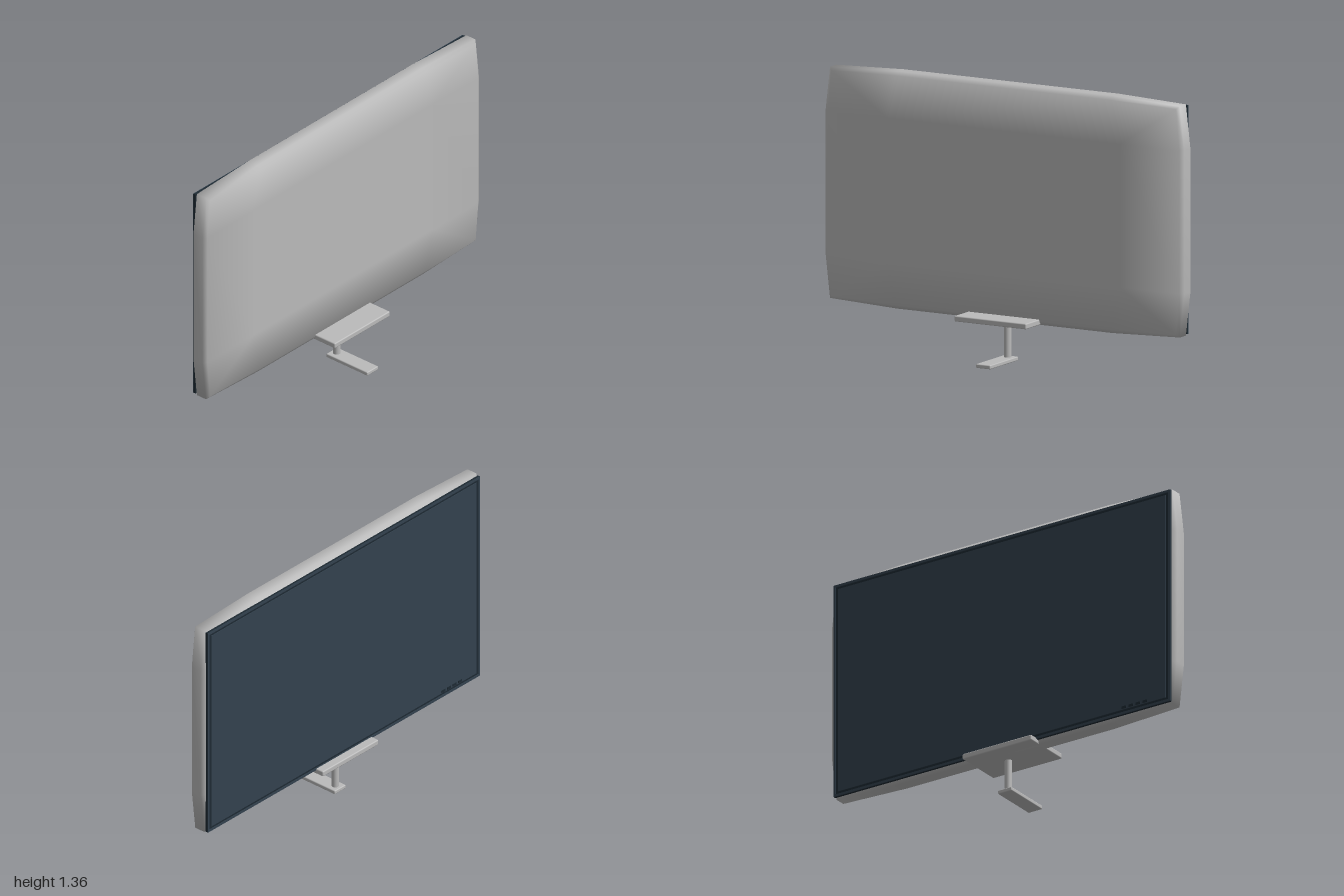
import * as THREE from 'three';
import { RoundedBoxGeometry } from 'three/addons/geometries/RoundedBoxGeometry.js';

const grey = new THREE.MeshStandardMaterial({ color: 0xbababa, name: 'casing grey' });
const slate = new THREE.MeshStandardMaterial({ color: 0x33424f, name: 'screen slate' });
const dark = new THREE.MeshStandardMaterial({ color: 0x1e2a33, name: 'bezel dark' });

// One quadrant of the casing outline: x, y, outward direction x, y
const QUADRANT = [[1, 0.35, 1, 0.06], [0.975, 0.565, 0.7, 0.7], [0.6, 0.58, 0.05, 1]];
const MID_Y = 0.78;

// Mirror the quadrant into a full counter-clockwise outline
function outline() {
  const flip = (sx, sy) => QUADRANT.map(([x, y, u, v]) => [x * sx, y * sy, u * sx, v * sy]);
  return [...flip(1, 1), ...flip(-1, 1).reverse(), ...flip(-1, -1), ...flip(1, -1).reverse()];
}

// Casing lofted through inset rings, with soft normals rolling over the rim
function casingGeometry() {
  const pts = outline(), n = pts.length;
  // z, inset, outward tilt of the normal, forward part of the normal
  const rings = [
    [-0.108, 0.022, 0.6, -0.8], [-0.098, 0, 0.95, -0.3],
    [-0.04, 0, 0.95, 0.3], [-0.026, 0.02, 0.5, 0.87], [-0.025, null, 0, 1],
  ];
  const pos = [], nor = [], idx = [];
  for (const [z, inset, tilt, fwd] of rings) {
    for (const [x, y, u, v] of pts) {
      if (inset === null) pos.push(Math.sign(x) * 0.65, MID_Y + Math.sign(y) * 0.35, z);
      else pos.push(x - u * inset, MID_Y + y - v * inset, z);
      const d = new THREE.Vector3(u * tilt, v * tilt, fwd).normalize();
      nor.push(d.x, d.y, d.z);
    }
  }
  for (let r = 0; r < rings.length - 1; r++) {
    for (let i = 0; i < n; i++) {
      const a = r * n + i, b = r * n + (i + 1) % n;
      idx.push(a, b, b + n, a, b + n, a + n);
    }
  }
  // Flat caps: front centre and back
  const last = (rings.length - 1) * n;
  for (let i = 1; i < n - 1; i++) {
    idx.push(last, last + i, last + i + 1, 0, i + 1, i);
  }
  const g = new THREE.BufferGeometry();
  g.setAttribute('position', new THREE.Float32BufferAttribute(pos, 3));
  g.setAttribute('normal', new THREE.Float32BufferAttribute(nor, 3));
  g.setIndex(idx);
  return g;
}

export function createModel() {
  const model = new THREE.Group();
  model.name = 'monitor';
  const add = (name, geometry, material, x, y, z) => {
    const mesh = new THREE.Mesh(geometry, material);
    mesh.name = name;
    mesh.position.set(x, y, z);
    model.add(mesh);
  };

  add('casing', casingGeometry(), grey, 0, 0, 0);

  // Dark surround and the screen panel on it
  add('bezel', new THREE.BoxGeometry(1.95, 1.118, 0.012), dark, 0, 0.779, -0.113);
  add('screen', new THREE.BoxGeometry(1.9, 1.07, 0.004), slate, 0, 0.779, -0.12);

  // Thin raised rim around the bezel
  for (const s of [-1, 1]) {
    add('bezelSide', new THREE.BoxGeometry(0.012, 1.118, 0.004), slate, s * 0.969, 0.779, -0.12);
    add('bezelEdge', new THREE.BoxGeometry(1.926, 0.012, 0.004), slate, 0, 0.779 + s * 0.553, -0.12);
  }

  // Row of small buttons at the lower corner
  for (let i = 0; i < 4; i++) {
    add('button', new THREE.BoxGeometry(0.026, 0.012, 0.004), dark, -0.83 + i * 0.04, 0.254, -0.123);
  }

  // Stand: support plate, neck and foot
  add('supportPlate', new RoundedBoxGeometry(0.4, 0.028, 0.265, 2, 0.006), grey, 0, 0.214, -0.033);
  add('neck', new THREE.CylinderGeometry(0.018, 0.018, 0.162, 24), grey, 0, 0.097, -0.065);
  add('foot', new RoundedBoxGeometry(0.08, 0.02, 0.264, 2, 0.005), grey, 0, 0.01, 0.034);

  return model;
}
